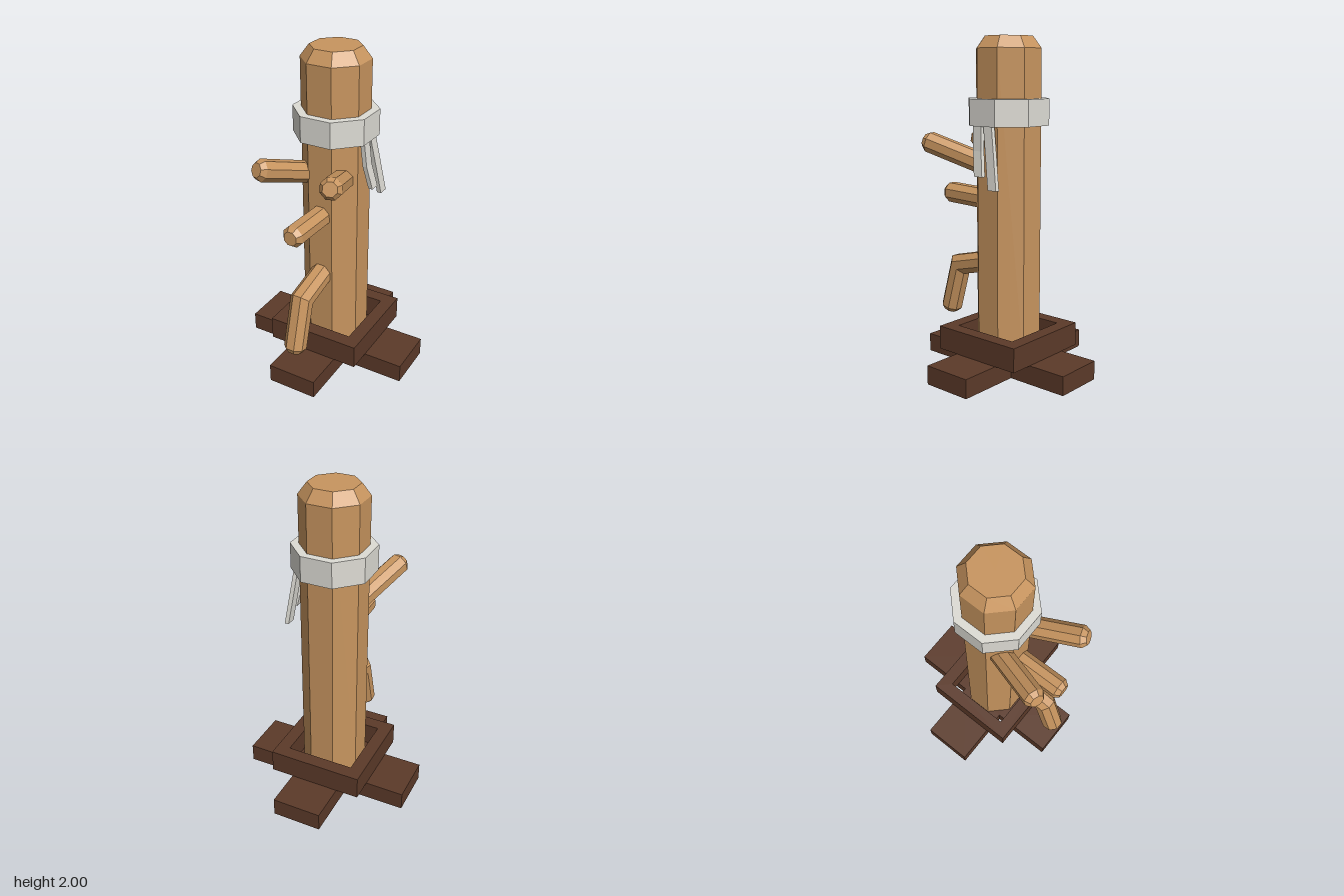
import * as THREE from 'three';

const SIDES = 8;
const K = 1 / Math.cos(Math.PI / SIDES); // flat-to-centre distance -> corner radius
const V = (x, y, z) => new THREE.Vector3(x, y, z);

const material = (color) => new THREE.MeshStandardMaterial({ color, flatShading: true });
const wood = material(0xc8955f);
const darkWood = material(0x5c3a29);
const cloth = material(0xdedcd5);

function addMesh(parent, name, geometry, mat) {
  const mesh = new THREE.Mesh(geometry, mat);
  mesh.name = name;
  parent.add(mesh);
  return mesh;
}

// Octagonal turned solid, flats facing the axes; profile runs upwards on the outside
function octagon(profile) {
  const points = profile.map(([r, y]) => new THREE.Vector2(r * K, y));
  return new THREE.LatheGeometry(points, SIDES, Math.PI / SIDES);
}

// Slab from a flat outline, lying between two heights
function slab(shape, y0, y1) {
  const g = new THREE.ExtrudeGeometry(shape, { depth: y1 - y0, bevelEnabled: false });
  return g.rotateX(-Math.PI / 2).translate(0, y0, 0);
}

function rectPoints(w) {
  return [[-w, -w], [w, -w], [w, w], [-w, w]].map(([x, y]) => new THREE.Vector2(x, y));
}

// Octagonal peg along a path, mitred at bends, with a chamfered tip
function limb(path, r) {
  const last = path.length - 1;
  const dirs = path.slice(1).map((p, i) => p.clone().sub(path[i]).normalize());
  const endDir = dirs[last - 1];
  const tip = path[last];
  const shoulder = tip.clone().addScaledVector(endDir, -0.03);
  const rings = path.map((p, i) => {
    const before = dirs[Math.max(i - 1, 0)], after = dirs[Math.min(i, last - 1)];
    const t = before.clone().add(after).normalize();
    return { p: i === last ? shoulder : p, t, r, stretch: 1 / t.dot(before) };
  });
  rings.push({ p: tip, t: endDir, r: r * 0.66, stretch: 1 }, { p: tip, t: endDir, r: 0, stretch: 1 });

  const pos = [], index = [];
  rings.forEach((ring, i) => {
    const u = V(0, 1, 0).cross(ring.t).normalize();
    const v = ring.t.clone().cross(u);
    for (let j = 0; j < SIDES; j++) {
      const a = ((j + 0.5) / SIDES) * Math.PI * 2;
      const q = ring.p.clone()
        .addScaledVector(u, Math.cos(a) * ring.r * K)
        .addScaledVector(v, Math.sin(a) * ring.r * K * ring.stretch);
      pos.push(q.x, q.y, q.z);
      if (i === rings.length - 1) continue;
      const n = (j + 1) % SIDES, b = i * SIDES, c = b + SIDES;
      index.push(b + j, b + n, c + n, b + j, c + n, c + j);
    }
  });
  const g = new THREE.BufferGeometry();
  g.setAttribute('position', new THREE.Float32BufferAttribute(pos, 3));
  g.setIndex(index);
  g.computeVertexNormals();
  return g;
}

// Hanging strip: a box whose rows are moved to the given centres, top to bottom
function strip(centres) {
  const g = new THREE.BoxGeometry(0.026, 2, 0.062, 1, 2, 1);
  const p = g.attributes.position;
  for (let i = 0; i < p.count; i++) {
    const [x, y, z] = centres[Math.round(1 - p.getY(i))];
    p.setXYZ(i, p.getX(i) + x, y, p.getZ(i) + z);
  }
  g.computeVertexNormals();
  return g;
}

export function createModel() {
  const model = new THREE.Group();
  model.name = 'trainingPost';

  // Crossed floor beams
  const a = 0.155, b = 0.54;
  const cross = new THREE.Shape([
    [a, -b], [a, -a], [b, -a], [b, a], [a, a], [a, b],
    [-a, b], [-a, a], [-b, a], [-b, -a], [-a, -a], [-a, -b],
  ].map(([x, y]) => new THREE.Vector2(x, y)));
  const base = new THREE.Group();
  base.name = 'base';
  base.position.z = -0.005;
  model.add(base);
  addMesh(base, 'crossBeams', slab(cross, 0, 0.115), darkWood);

  // Square frame around the foot of the post
  const frame = new THREE.Shape(rectPoints(0.298));
  frame.holes.push(new THREE.Path(rectPoints(0.215).reverse()));
  addMesh(base, 'baseFrame', slab(frame, 0.115, 0.26), darkWood);

  // Post with chamfered top
  addMesh(model, 'post', octagon([[0, 0.1], [0.185, 0.1], [0.185, 1.93], [0.137, 2], [0, 2]]), wood)
    .position.z = -0.006;

  // Cloth band and its two loose ends
  addMesh(model, 'clothBand',
    octagon([[0.18, 1.49], [0.23, 1.49], [0.23, 1.645], [0.18, 1.645], [0.18, 1.49]]), cloth)
    .position.z = -0.006;
  addMesh(model, 'frontClothEnd',
    strip([[0.208, 1.52, 0.04], [0.222, 1.35, 0.028], [0.247, 1.205, 0]]), cloth);
  addMesh(model, 'backClothEnd',
    strip([[0.206, 1.52, -0.035], [0.226, 1.34, -0.07], [0.249, 1.135, -0.108]]), cloth);

  // Upper arms, spread to both sides
  for (const [name, s] of [['leftArm', 1], ['rightArm', -1]]) {
    addMesh(model, name, limb([V(s * 0.07, 1.225, 0), V(s * 0.232, 1.388, 0.462)], 0.06), wood);
  }

  // Middle arm
  addMesh(model, 'middleArm', limb([V(0, 1.025, 0), V(0, 1.042, 0.5)], 0.061), wood);

  // Bent leg
  addMesh(model, 'leg', limb([V(0, 0.675, 0), V(0, 0.577, 0.398), V(0, 0.257, 0.49)], 0.063), wood);

  return model;
}
